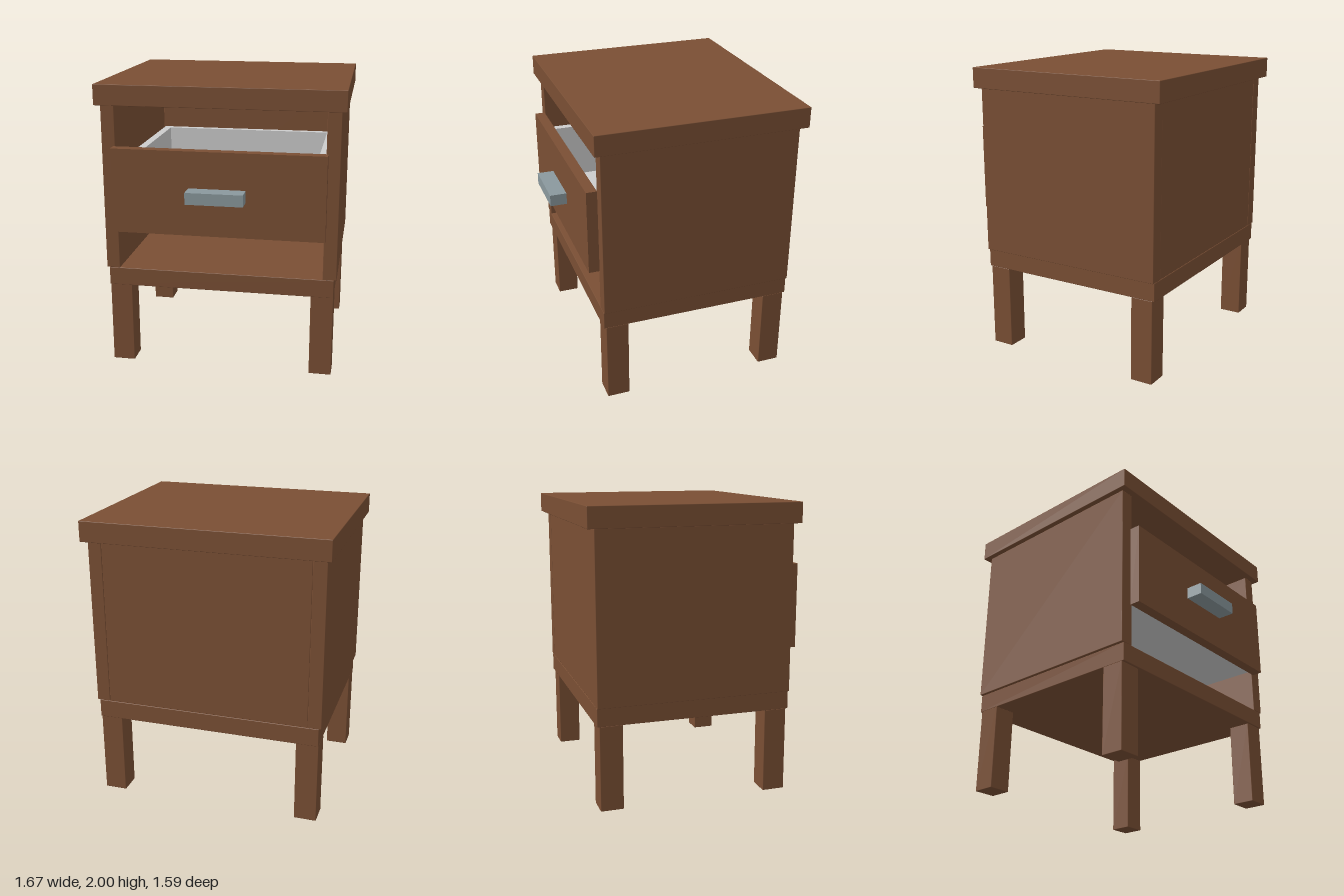
import * as THREE from 'three';
import { RoundedBoxGeometry } from 'three/addons/geometries/RoundedBoxGeometry.js';

export function createModel() {
  const model = new THREE.Group();
  model.name = 'nightstand';

  const material = (name, color) => {
    const m = new THREE.MeshStandardMaterial({ color });
    m.name = name;
    return m;
  };
  const wood = material('brown wood', 0x7a4f34);
  const lining = material('light grey lining', 0xcccccc);
  const metal = material('grey metal', 0x8a989d);

  // Box given by its limits on each axis, with an optional tiny edge bevel
  function box(parent, name, mat, [x0, x1], [y0, y1], [z0, z1], bevel = 0) {
    const size = [x1 - x0, y1 - y0, z1 - z0];
    const geometry = bevel
      ? new RoundedBoxGeometry(...size, 1, bevel)
      : new THREE.BoxGeometry(...size);
    const mesh = new THREE.Mesh(geometry, mat);
    mesh.name = name;
    mesh.position.set((x0 + x1) / 2, (y0 + y1) / 2, (z0 + z1) / 2);
    parent.add(mesh);
  }
  // Limits mirrored to the other side when s is -1
  const mirror = (s, a, b) => (s > 0 ? [a, b] : [-b, -a]);
  const bevel = 0.004;

  // Cabinet
  const cabinet = new THREE.Group();
  cabinet.name = 'cabinet';
  model.add(cabinet);
  box(cabinet, 'tableTop', wood, [-0.835, 0.835], [1.86, 2], [-0.79, 0.65], bevel);
  box(cabinet, 'base', wood, [-0.785, 0.785], [0.583, 0.71], [-0.74, 0.607], bevel);
  box(cabinet, 'backPanel', wood, [-0.708, 0.708], [0.71, 1.86], [-0.738, -0.71], bevel);
  for (const s of [1, -1]) {
    const side = s > 0 ? 'left' : 'right';
    box(cabinet, side + 'SidePanel', wood, mirror(s, 0.708, 0.802), [0.71, 1.86], [-0.74, 0.607], bevel);
    box(cabinet, side + 'FrontLeg', wood, mirror(s, 0.63, 0.785), [0, 0.585], [0.435, 0.592], bevel);
    box(cabinet, side + 'BackLeg', wood, mirror(s, 0.63, 0.785), [0, 0.585], [-0.725, -0.568], bevel);
  }

  // Drawer: wooden front, open-topped tray and handle
  const drawer = new THREE.Group();
  drawer.name = 'drawer';
  model.add(drawer);
  box(drawer, 'drawerFront', wood, [-0.722, 0.722], [1, 1.58], [0.608, 0.68]);
  box(drawer, 'drawerFloor', lining, [-0.69, 0.69], [1.02, 1.07], [-0.69, 0.608]);
  box(drawer, 'drawerBack', lining, [-0.635, 0.635], [1.07, 1.47], [-0.69, -0.64]);
  for (const s of [1, -1]) {
    box(drawer, s > 0 ? 'drawerLeftWall' : 'drawerRightWall', lining,
      mirror(s, 0.635, 0.69), [1.07, 1.47], [-0.69, 0.608]);
  }
  box(drawer, 'handle', metal, [-0.193, 0.193], [1.25, 1.33], [0.68, 0.795]);

  return model;
}
